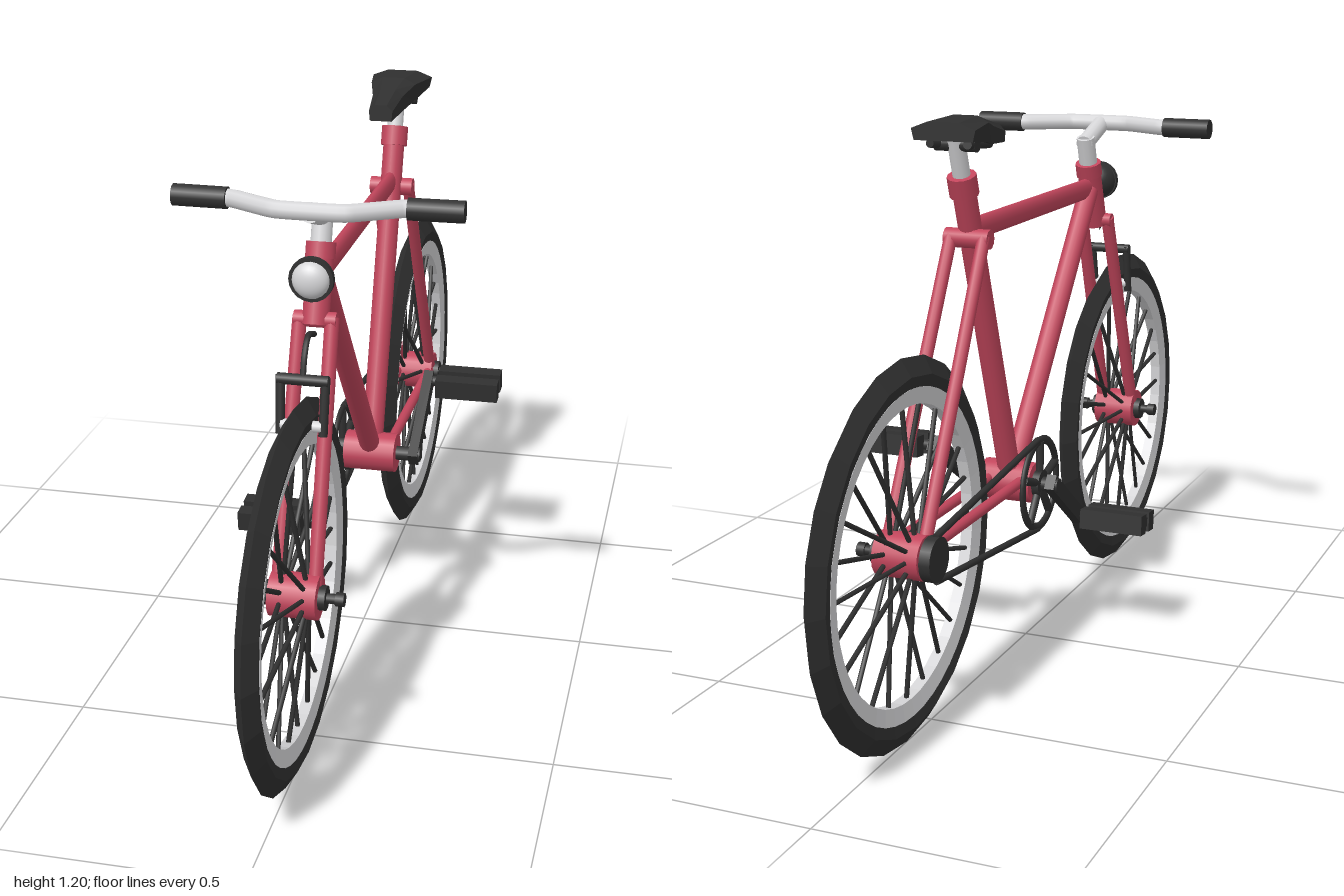
import * as THREE from 'three';

const red = new THREE.MeshStandardMaterial({ color: 0xc2465c }); red.name = 'frame red';
const black = new THREE.MeshStandardMaterial({ color: 0x303030 }); black.name = 'rubber black';
const silver = new THREE.MeshStandardMaterial({ color: 0xd6d6d8 }); silver.name = 'polished silver';

const V = (x, y, z) => new THREE.Vector3(x, y, z);
const UP = V(0, 1, 0);

export function createModel() {
  const bike = new THREE.Group();
  bike.name = 'bicycle';

  function add(name, geometry, material, parent = bike) {
    const mesh = new THREE.Mesh(geometry, material);
    mesh.name = name;
    parent.add(mesh);
    return mesh;
  }
  // Round bar between two points
  function bar(name, a, b, r, material, parent = bike, sides = 12) {
    const mesh = add(name, new THREE.CylinderGeometry(r, r, a.distanceTo(b), sides), material, parent);
    mesh.position.copy(a).lerp(b, 0.5);
    mesh.quaternion.setFromUnitVectors(UP, b.clone().sub(a).normalize());
    return mesh;
  }
  function pipe(name, points, r, material, tension) {
    const curve = new THREE.CatmullRomCurve3(points, false, 'catmullrom', tension);
    return add(name, new THREE.TubeGeometry(curve, 32, r, 10), material);
  }
  const flat = (mesh) => { mesh.geometry.computeVertexNormals(); return mesh; };
  // Flat-shaded ring turned around the x axis, from a closed [radius, x] profile
  function ring(name, profile, sides, material, parent) {
    const points = [...profile, profile[0]].map(([r, y]) => new THREE.Vector2(r, y));
    const geometry = new THREE.LatheGeometry(points, sides).rotateZ(-Math.PI / 2);
    return flat(add(name, geometry.toNonIndexed(), material, parent));
  }

  // Wheels
  const axleY = 0.388, axleZ = 0.612;
  for (const [side, z] of [['front', axleZ], ['rear', -axleZ]]) {
    const wheel = new THREE.Group();
    wheel.name = side + 'Wheel';
    wheel.position.set(0, axleY, z);
    bike.add(wheel);
    ring('tyre', [[0.322, -0.016], [0.352, -0.022], [0.387, 0], [0.352, 0.022], [0.322, 0.016]], 24, black, wheel);
    ring('rim', [[0.294, -0.012], [0.328, -0.018], [0.328, 0.018], [0.294, 0.012]], 48, silver, wheel);
    for (let i = 0; i < 24; i++) {
      const a = i * Math.PI / 12, c = Math.cos(a), s = Math.sin(a);
      bar('spoke', V(i % 2 ? 0.024 : -0.024, 0.03 * s, 0.03 * c), V(0, 0.3 * s, 0.3 * c), 0.005, black, wheel, 6);
    }
    bar('hub', V(-0.048, 0, 0), V(0.048, 0, 0), 0.045, red, wheel, 16);
    for (const s of [-1, 1]) {
      bar('axleNut', V(s * 0.045, 0, 0), V(s * 0.062, 0, 0), 0.025, black, wheel, 10);
      if (side === 'front' || s > 0) {
        bar('axle', V(0, 0, 0), V(s * 0.09, 0, 0), 0.01, black, wheel);
        bar('axleEnd', V(s * 0.08, 0, 0), V(s * 0.097, 0, 0), 0.014, black, wheel, 10);
      }
    }
  }

  // Frame
  const bbY = 0.39, bbZ = -0.085;
  const topTube = bar('topTube', V(0, 0.97, 0.385), V(0, 0.97, -0.30), 0.024, red);
  topTube.scale.x = 0.6;
  bar('downTube', V(0, 0.965, 0.385), V(0, bbY, bbZ), 0.023, red);
  bar('seatTube', V(0, bbY, bbZ), V(0, 1.05, -0.318), 0.024, red);
  bar('seatClamp', V(0, 1.045, -0.317), V(0, 1.085, -0.331), 0.03, red);
  bar('headTube', V(0, 0.88, 0.433), V(0, 1.01, 0.387), 0.027, red);
  bar('headCollar', V(0, 1.0, 0.39), V(0, 1.03, 0.38), 0.03, red);
  bar('bottomBracket', V(-0.058, bbY, bbZ), V(0.058, bbY, bbZ), 0.044, red, bike, 16);
  bar('stayBridge', V(-0.048, 0.955, -0.3), V(0.048, 0.955, -0.3), 0.02, red);
  for (const s of [-1, 1]) {
    bar('seatStay', V(s * 0.036, 0.96, -0.305), V(s * 0.039, axleY, -axleZ), 0.0135, red);
    bar('chainStay', V(s * 0.037, 0.4, bbZ), V(s * 0.039, 0.397, -axleZ), 0.0115, red);
    bar('forkLeg', V(s * 0.032, 0.895, 0.428), V(s * 0.037, axleY, axleZ), 0.0145, red);
  }
  bar('forkCrown', V(-0.042, 0.89, 0.43), V(0.042, 0.89, 0.43), 0.016, red);

  // Seat post and saddle
  bar('seatPost', V(0, 1.06, -0.322), V(0, 1.165, -0.358), 0.018, silver);
  // Saddle cross-sections: z, half width, top, bottom
  const sections = [
    [-0.17, 0.026, 1.17, 1.135], [-0.25, 0.034, 1.188, 1.139],
    [-0.31, 0.05, 1.201, 1.15], [-0.415, 0.068, 1.196, 1.16]
  ];
  const corners = [], faces = [], n = 6;
  for (const [z, w, top, low] of sections) {
    for (const [x, y] of [[w * 0.92, low], [w, top - 0.013], [w * 0.5, top], [-w * 0.5, top], [-w, top - 0.013], [-w * 0.92, low]]) corners.push(x, y, z);
  }
  for (let i = 0; i < 3; i++) {
    for (let k = 0; k < n; k++) {
      const a = i * n + k, b = i * n + (k + 1) % n;
      faces.push(a, a + n, b, b, a + n, b + n);
    }
  }
  for (let k = 1; k < n - 1; k++) faces.push(0, k, k + 1, 18, 18 + k + 1, 18 + k);
  const saddle = new THREE.BufferGeometry();
  saddle.setAttribute('position', new THREE.Float32BufferAttribute(corners, 3));
  saddle.setIndex(faces);
  flat(add('saddle', saddle.toNonIndexed(), black));
  for (const s of [-1, 1]) bar('saddleRail', V(s * 0.015, 1.137, -0.23), V(s * 0.04, 1.152, -0.39), 0.009, black);
  bar('saddleBracket', V(-0.045, 1.148, -0.352), V(0.045, 1.148, -0.352), 0.014, black);

  // Stem, handlebar and grips
  bar('stemPost', V(0, 1.02, 0.384), V(0, 1.09, 0.362), 0.021, silver);
  bar('stemArm', V(0, 1.075, 0.355), V(0, 1.112, 0.465), 0.02, silver);
  pipe('handlebar', [V(-0.2, 1.115, 0.41), V(-0.165, 1.115, 0.413), V(-0.07, 1.115, 0.465), V(0, 1.115, 0.468),
    V(0.07, 1.115, 0.465), V(0.165, 1.115, 0.413), V(0.2, 1.115, 0.41)], 0.018, silver, 0.2);
  for (const s of [-1, 1]) bar('grip', V(s * 0.175, 1.115, 0.412), V(s * 0.283, 1.115, 0.41), 0.022, black);

  // Headlamp
  bar('lampMount', V(0, 0.97, 0.40), V(0, 0.978, 0.44), 0.014, black);
  const shell = add('lampHousing', new THREE.SphereGeometry(0.042, 20, 8, 0, Math.PI * 2, 0, Math.PI / 2), black);
  shell.rotation.x = -Math.PI / 2;
  shell.position.set(0, 0.98, 0.457);
  bar('lampRim', V(0, 0.98, 0.452), V(0, 0.98, 0.466), 0.044, black, bike, 20);
  const lens = add('lampLens', new THREE.SphereGeometry(0.037, 20, 8, 0, Math.PI * 2, 0, Math.PI / 2), silver);
  lens.rotation.x = Math.PI / 2;
  lens.scale.y = 0.65;
  lens.position.set(0, 0.98, 0.465);

  // Front brake with its cable
  bar('brakeBridge', V(-0.05, 0.805, 0.535), V(0.05, 0.805, 0.535), 0.011, black);
  for (const s of [-1, 1]) {
    bar('brakeArm', V(s * 0.044, 0.812, 0.533), V(s * 0.042, 0.7, 0.552), 0.009, black);
    bar('brakePad', V(s * 0.022, 0.718, 0.55), V(s * 0.04, 0.718, 0.55), 0.011, silver);
  }
  pipe('brakeCable', [V(0, 0.805, 0.537), V(0, 0.85, 0.52), V(0, 0.877, 0.49), V(0, 0.865, 0.445)], 0.006, black, 0.5);

  // Chainring, sprocket and chain
  const chainX = -0.068;
  const hoop = add('chainring', new THREE.TorusGeometry(0.096, 0.01, 8, 36), black);
  hoop.rotation.y = Math.PI / 2;
  hoop.scale.z = 0.6;
  hoop.position.set(chainX, bbY, bbZ);
  bar('chainringBoss', V(chainX - 0.008, bbY, bbZ), V(chainX + 0.008, bbY, bbZ), 0.03, black, bike, 16);
  for (let i = 0; i < 5; i++) {
    const a = i * Math.PI * 0.4 + 0.3;
    bar('chainringArm', V(chainX, bbY, bbZ), V(chainX, bbY + 0.094 * Math.sin(a), bbZ + 0.094 * Math.cos(a)), 0.009, black, bike, 8);
  }
  bar('sprocket', V(chainX - 0.007, axleY, -axleZ), V(chainX + 0.016, axleY, -axleZ), 0.045, black, bike, 20);
  for (const s of [-1, 1]) {
    bar('chainRun', V(chainX, bbY + s * 0.1, bbZ - 0.01), V(chainX, axleY + s * 0.045, -axleZ), 0.007, black, bike, 8);
  }

  // Cranks and pedals
  bar('crankAxle', V(-0.113, bbY, bbZ), V(0.113, bbY, bbZ), 0.016, black);
  for (const [s, y, z] of [[1, 0.503, -0.258], [-1, 0.279, 0.065]]) {
    const dy = y - bbY, dz = z - bbZ;
    const arm = add('crankArm', new THREE.BoxGeometry(0.022, 0.034, Math.hypot(dy, dz) + 0.034), black);
    arm.position.set(s * 0.098, bbY + dy / 2, bbZ + dz / 2);
    arm.rotation.x = -Math.atan2(dy, dz);
    bar('pedalAxle', V(s * 0.088, y, z), V(s * 0.25, y, z), 0.012, black);
    const pedal = new THREE.Group();
    pedal.name = 'pedal';
    pedal.position.set(s * 0.193, y, z);
    pedal.rotation.x = 0.1;
    bike.add(pedal);
    for (const side of [-1, 1]) {
      add('pedalBlock', new THREE.BoxGeometry(0.144, 0.044, 0.033), black, pedal).position.z = side * 0.026;
    }
    add('pedalCore', new THREE.BoxGeometry(0.136, 0.02, 0.03), black, pedal);
  }
  return bike;
}
